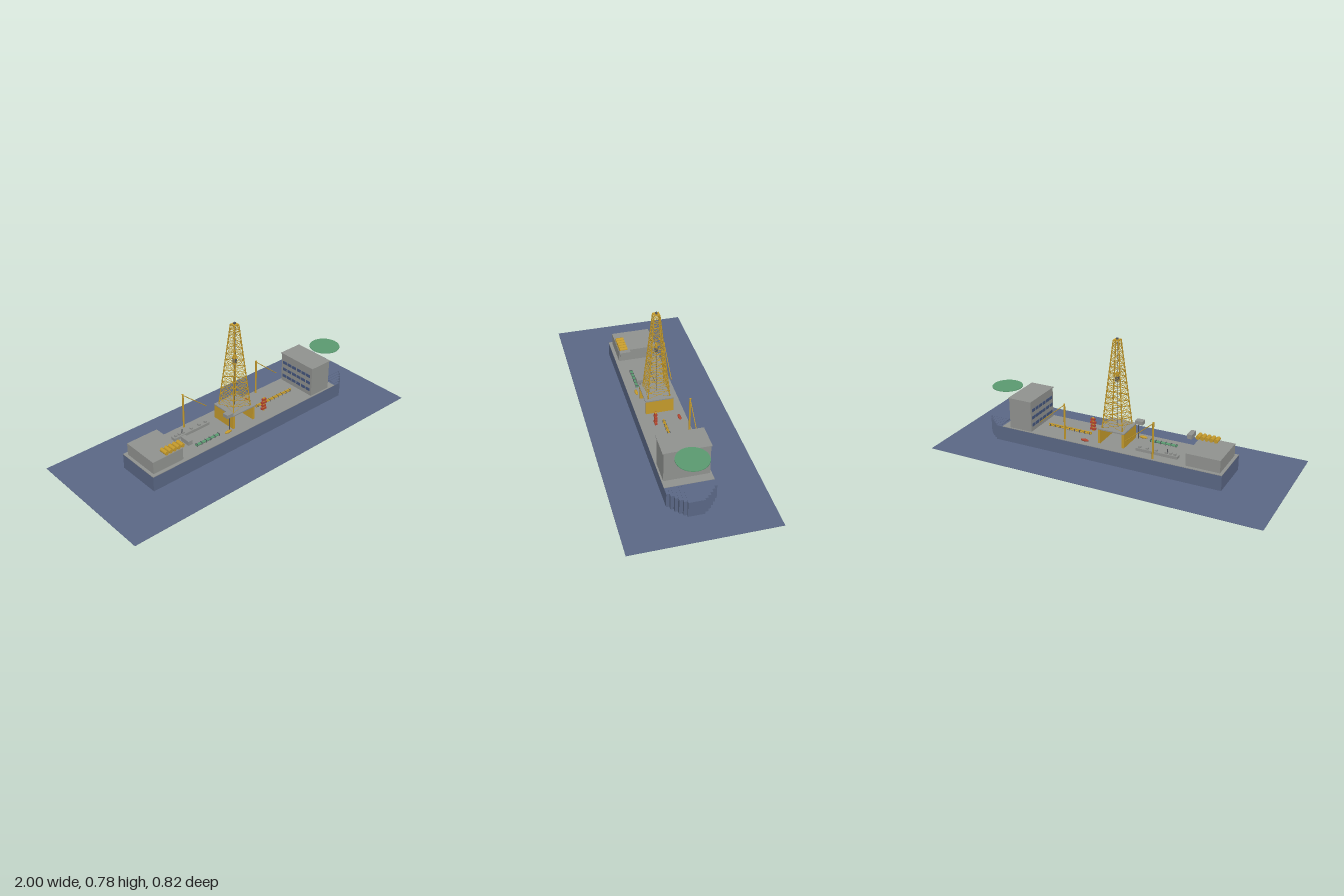
import * as THREE from 'three';

const mat = (name, color) => {
  const m = new THREE.MeshStandardMaterial({ color });
  m.name = name;
  return m;
};

export function createModel() {
  const root = new THREE.Group();
  root.name = 'drillShip';
  const blue = mat('hullBlue', 0x5a6785);
  const grey = mat('deckGrey', 0x90928f);
  const yellow = mat('rigYellow', 0xc49a2c);
  const red = mat('safetyRed', 0xb4452f);
  const green = mat('helideckGreen', 0x5a9a70);
  const dark = mat('steelDark', 0x55585e);
  const glass = mat('windowBlue', 0x44557c);

  const group = (name, parent = root) => {
    const g = new THREE.Group();
    g.name = name;
    parent.add(g);
    return g;
  };
  const add = (parent, name, geo, m, x = 0, y = 0, z = 0) => {
    const mesh = new THREE.Mesh(geo, m);
    mesh.name = name;
    mesh.position.set(x, y, z);
    parent.add(mesh);
    return mesh;
  };
  // Box given by its minimum and maximum on each axis
  const box = (parent, name, m, x0, x1, y0, y1, z0, z1) =>
    add(parent, name, new THREE.BoxGeometry(x1 - x0, y1 - y0, z1 - z0), m,
      (x0 + x1) / 2, (y0 + y1) / 2, (z0 + z1) / 2);
  // Round bar between two points
  const up = new THREE.Vector3(0, 1, 0);
  const bar = (parent, name, m, a, b, r, sides = 6) => {
    const p = new THREE.Vector3(...a), q = new THREE.Vector3(...b);
    const d = q.clone().sub(p);
    const mesh = add(parent, name, new THREE.CylinderGeometry(r, r, d.length(), sides), m);
    mesh.position.copy(p).add(q).multiplyScalar(0.5);
    mesh.quaternion.setFromUnitVectors(up, d.normalize());
    return mesh;
  };

  // Sea surface
  box(root, 'sea', blue, -1, 1, 0.073, 0.075, -0.408, 0.408);

  // Hull with a stepped bow
  const hull = group('hull');
  box(hull, 'mainHull', blue, -0.68, 0.73, 0, 0.165, -0.135, 0.135);
  [[0.752, 0.118], [0.773, 0.101], [0.793, 0.084], [0.81, 0.065], [0.824, 0.046]].forEach(([x, w], i) =>
    box(hull, 'bowStep', blue, 0.7, x, 0.005 * (i + 1), 0.1665 + 0.0013 * i, -w, w));
  box(hull, 'deck', grey, -0.68, 0.685, 0.164, 0.167, -0.1355, 0.1355);
  for (const s of [-1, 1])
    add(hull, 'hullStripe', new THREE.BoxGeometry(1.36, 0.02, 0.004), red, 0, 0.05, s * 0.1355);

  // Stern engine house
  const stern = group('sternHouse');
  box(stern, 'engineHouse', grey, -0.662, -0.465, 0.165, 0.24, -0.115, 0.115);
  for (let i = 0; i < 5; i++) {
    const x = -0.567 + i * 0.0265;
    const drum = add(stern, 'engineDrum', new THREE.CylinderGeometry(0.012, 0.012, 0.048, 12), yellow, x, 0.253, 0.088);
    drum.rotation.x = Math.PI / 2;
  }
  box(stern, 'exhaustHousing', grey, -0.43, -0.402, 0.24, 0.266, 0.055, 0.12);

  // Accommodation block with windows facing aft
  const bridge = group('accommodation');
  box(bridge, 'accommodationBlock', grey, 0.492, 0.635, 0.165, 0.35, -0.126, 0.126);
  box(bridge, 'accommodationRoof', grey, 0.488, 0.639, 0.35, 0.355, -0.131, 0.131);
  for (const y of [0.205, 0.25, 0.295])
    for (let i = 0; i < 6; i++)
      add(bridge, 'window', new THREE.BoxGeometry(0.004, 0.018, 0.03), glass, 0.491, y, -0.0975 + i * 0.039);

  // Helicopter deck
  add(root, 'helideck', new THREE.CylinderGeometry(0.09, 0.09, 0.004, 40), green, 0.725, 0.367, 0);

  // Derrick substructure
  const sub = group('substructure');
  for (const s of [-1, 1])
    add(sub, 'supportWall', new THREE.BoxGeometry(0.014, 0.088, 0.16), yellow, s * 0.074, 0.209, 0);
  box(sub, 'drillFloor', grey, -0.083, 0.083, 0.251, 0.258, -0.083, 0.083);
  box(sub, 'drillerCabin', grey, -0.132, -0.086, 0.262, 0.284, 0.054, 0.09);
  bar(sub, 'cabinPost', dark, [-0.1, 0.165, 0.072], [-0.1, 0.262, 0.072], 0.003);

  // Derrick tower: four tapering legs and X bracing
  const derrick = group('derrick');
  const y0 = 0.258, y1 = 0.77, levels = 14;
  const half = y => 0.063 + (0.016 - 0.063) * (y - y0) / (y1 - y0);
  const corner = (k, y) => {
    const h = half(y);
    return [[h, y, h], [-h, y, h], [-h, y, -h], [h, y, -h]][k % 4];
  };
  for (let k = 0; k < 4; k++) {
    bar(derrick, 'derrickLeg', yellow, corner(k, y0), corner(k, y1), 0.0035);
    for (let i = 0; i < levels; i++) {
      const a = y0 + (y1 - y0) * i / levels, b = y0 + (y1 - y0) * (i + 1) / levels;
      bar(derrick, 'girt', yellow, corner(k, b), corner(k + 1, b), 0.0017, 4);
      bar(derrick, 'brace', yellow, corner(k, a), corner(k + 1, b), 0.0014, 4);
      bar(derrick, 'brace', yellow, corner(k + 1, a), corner(k, b), 0.0014, 4);
    }
  }
  box(derrick, 'crownPlatform', yellow, -0.017, 0.017, 0.768, 0.773, -0.017, 0.017);
  box(derrick, 'crownBlock', dark, -0.006, 0.006, 0.773, 0.782, -0.005, 0.005);

  // Travelling block, cables and drill string
  for (const s of [-1, 1])
    bar(derrick, 'hoistCable', dark, [s * 0.004, 0.58, 0], [s * 0.004, 0.77, 0], 0.001, 4);
  box(derrick, 'travellingBlock', yellow, -0.008, 0.008, 0.557, 0.582, -0.006, 0.006);
  box(derrick, 'topDrive', dark, -0.009, 0.009, 0.528, 0.557, -0.008, 0.008);
  bar(derrick, 'drillString', dark, [0, 0.258, 0], [0, 0.53, 0], 0.002);
  bar(derrick, 'tongArm', dark, [0, 0.552, 0], [0, 0.552, -0.05], 0.001, 4);

  // Deck cranes
  for (const x of [-0.275, 0.272]) {
    const crane = group('crane');
    bar(crane, 'craneMast', yellow, [x, 0.165, -0.119], [x, 0.385, -0.119], 0.0055, 10);
    bar(crane, 'craneBoom', yellow, [x, 0.378, -0.119], [x + 0.166, 0.237, -0.119], 0.0025);
  }

  // Riser rack along the forward centreline
  const risers = group('riserRack');
  for (const [y, z] of [[0.172, -0.004], [0.172, 0.004], [0.179, 0]])
    bar(risers, 'riserPipe', yellow, [0.165, y, z], [0.445, y, z], 0.004, 8);
  for (let i = 0; i < 9; i++)
    add(risers, 'rackStop', new THREE.BoxGeometry(0.004, 0.014, 0.018), dark, 0.175 + i * 0.0325, 0.173, 0);

  // Green pipe rack with collars
  const pipes = group('pipeRack');
  for (const z of [0.066, 0.073])
    bar(pipes, 'casingPipe', green, [-0.34, 0.174, z], [-0.175, 0.174, z], 0.0055, 8);
  for (let i = 0; i < 6; i++)
    add(pipes, 'pipeCollar', new THREE.BoxGeometry(0.004, 0.015, 0.018), dark, -0.335 + i * 0.031, 0.174, 0.07);

  // Mud treatment skid with small machines
  const skid = group('mudSkid');
  box(skid, 'skidTray', grey, -0.4, -0.15, 0.165, 0.184, -0.073, -0.042);
  for (const x of [-0.38, -0.355, -0.33, -0.27, -0.215, -0.17])
    add(skid, 'shaker', new THREE.BoxGeometry(0.014, 0.01, 0.016), grey, x, 0.189, -0.058);
  bar(skid, 'ventPipe', dark, [-0.336, 0.184, -0.058], [-0.336, 0.212, -0.058], 0.0025);

  // Blowout preventer stack
  const stack = group('preventerStack');
  bar(stack, 'stackCore', yellow, [0.18, 0.165, 0.05], [0.18, 0.25, 0.05], 0.006, 10);
  for (let i = 0; i < 4; i++)
    add(stack, 'ramBody', new THREE.BoxGeometry(i % 2 ? 0.026 : 0.034, 0.012, 0.014), red, 0.18, 0.18 + i * 0.02, 0.05);

  // Lifeboats
  for (const [x, z, m] of [[0.158, -0.094, red], [-0.124, 0.088, yellow]]) {
    const boat = add(root, 'lifeboat', new THREE.SphereGeometry(1, 14, 8), m, x, 0.174, z);
    boat.scale.set(0.025, 0.008, 0.009);
  }
  return root;
}
